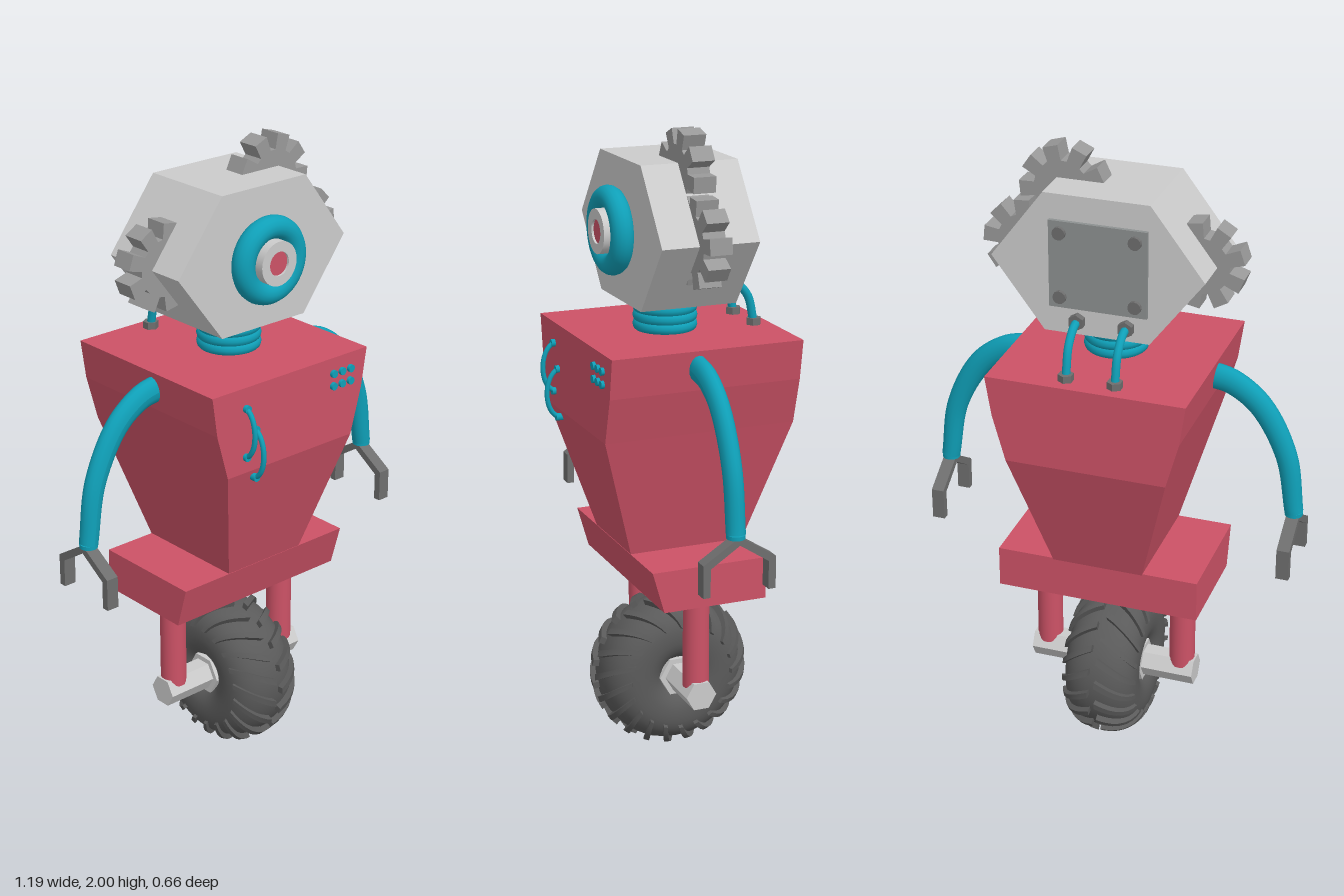
import * as THREE from 'three';
import { mergeGeometries, toCreasedNormals } from 'three/addons/utils/BufferGeometryUtils.js';

const mat = (color, flatShading = false) => new THREE.MeshStandardMaterial({ color, flatShading });
const grey = mat(0xcccccc), greyFlat = mat(0xcccccc, true), gearGrey = mat(0x999999, true);
const dark = mat(0x6e6e6e, true), rubber = mat(0x5a5a5a), plateGrey = mat(0x8c9090, true);
const red = mat(0xcc5266), redFlat = mat(0xcc5266, true), teal = mat(0x0fa0b8);
const V = (x, y, z) => new THREE.Vector3(x, y, z);

function add(parent, name, geo, material, x = 0, y = 0, z = 0) {
  const m = new THREE.Mesh(geo, material);
  m.name = name;
  m.position.set(x, y, z);
  parent.add(m);
  return m;
}

// Solid through rectangular sections [y, x0, x1, z0, z1], listed bottom to top
function loft(rows) {
  const pos = [], idx = [];
  for (const [y, x0, x1, z0, z1] of rows) pos.push(x0, y, z1, x1, y, z1, x1, y, z0, x0, y, z0);
  for (let r = 0; r < rows.length - 1; r++) {
    for (let i = 0; i < 4; i++) {
      const a = r * 4 + i, b = r * 4 + (i + 1) % 4;
      idx.push(a, b, b + 4, a, b + 4, a + 4);
    }
  }
  const t = (rows.length - 1) * 4;
  idx.push(0, 2, 1, 0, 3, 2, t, t + 1, t + 2, t, t + 2, t + 3);
  const g = new THREE.BufferGeometry();
  g.setAttribute('position', new THREE.Float32BufferAttribute(pos, 3));
  g.setIndex(idx);
  const flat = g.toNonIndexed();
  flat.computeVertexNormals();
  return flat;
}

const extrude = (points, depth) => new THREE.ExtrudeGeometry(
  new THREE.Shape(points.map(([x, y]) => new THREE.Vector2(x, y))), { depth, bevelEnabled: false }
).translate(0, 0, -depth / 2);

// Short cylinder lying along z
const disc = (r, h, sides = 20) => new THREE.CylinderGeometry(r, r, h, sides).rotateX(Math.PI / 2);

function gearGeometry(teeth, rootR, tipR, depth) {
  const pts = [], half = 0.021;
  for (let i = 0; i < teeth; i++) {
    const a = i / teeth * Math.PI * 2;
    for (const [r, w] of [[rootR, -half], [tipR, -half * 1.15], [tipR, half * 1.15], [rootR, half]]) {
      pts.push([r * Math.cos(a) - w * Math.sin(a), r * Math.sin(a) + w * Math.cos(a)]);
    }
  }
  return extrude(pts, depth);
}

// Tyre cross-section: axial and radial position at angle p from the crown
function tyrePoint(p) {
  const e = 2 / 2.3, s = Math.sin(p), c = Math.cos(p);
  return [0.118 * Math.sign(s) * Math.abs(s) ** e, 0.135 + 0.1 * Math.sign(c) * Math.abs(c) ** e];
}

// One slanted lug: a box bent over the tyre from crown to shoulder
function lugGeometry(a0) {
  const g = new THREE.BoxGeometry(1, 1, 1, 7, 1, 1), p = g.attributes.position;
  for (let i = 0; i < p.count; i++) {
    const t = p.getX(i) + 0.5, phi = 0.06 + t * 1.25, h = p.getY(i) > 0 ? 0.02 : -0.01;
    const [ax, r] = tyrePoint(phi);
    const a = a0 - t * 0.34 + p.getZ(i) * 0.085, R = r + h * Math.cos(phi);
    p.setXYZ(i, ax + h * Math.sin(phi) * 0.5, R * Math.cos(a), R * Math.sin(a));
  }
  return g;
}

function buildWheel() {
  const wheel = new THREE.Group();
  wheel.name = 'wheel';
  wheel.position.set(0, 0.255, -0.02);
  const profile = [];
  for (let i = 0; i <= 40; i++) {
    const [ax, r] = tyrePoint(Math.PI - i / 40 * Math.PI * 2);
    profile.push(new THREE.Vector2(r, -ax));
  }
  add(wheel, 'tyre', new THREE.LatheGeometry(profile, 56).rotateZ(Math.PI / 2),
    new THREE.MeshStandardMaterial({ color: 0x5a5a5a, side: THREE.DoubleSide }));
  const n = 20, lugs = [];
  for (let i = 0; i < n; i++) lugs.push(lugGeometry(i / n * Math.PI * 2));
  const tread = toCreasedNormals(mergeGeometries(lugs), 0.6);
  add(wheel, 'leftTread', tread, rubber);
  const rightTread = add(wheel, 'rightTread', tread, rubber);
  rightTread.scale.x = -1;
  rightTread.rotation.x = Math.PI / n;
  const hex = (r, len) => new THREE.CylinderGeometry(r, r, len, 6).rotateZ(Math.PI / 2).rotateX(Math.PI / 2);
  add(wheel, 'axle', hex(0.05, 0.545).rotateX(Math.PI / 2), greyFlat);
  add(wheel, 'hub', hex(0.068, 0.205).rotateX(Math.PI / 2), greyFlat);
  return wheel;
}

function buildArm() {
  const arm = new THREE.Group();
  const path = new THREE.CatmullRomCurve3(
    [V(0.29, 1.315, 0.005), V(0.36, 1.3, 0.005), V(0.45, 1.235, 0.005), V(0.535, 1.08, 0.005), V(0.567, 0.89, 0.005)]);
  const n = 32, g = new THREE.TubeGeometry(path, n, 0.029, 16), p = g.attributes.position;
  // Thicken the tube towards the shoulder
  for (let i = 0; i < p.count; i++) {
    const t = Math.floor(i / 17) / n, c = path.getPointAt(t), k = 1 + 0.45 * (1 - t);
    p.setXY(i, c.x + (p.getX(i) - c.x) * k, c.y + (p.getY(i) - c.y) * k);
  }
  g.computeVertexNormals();
  add(arm, 'armTube', g, teal);
  add(arm, 'wristCap', new THREE.CylinderGeometry(0.028, 0.028, 0.012, 16), teal, 0.567, 0.885, 0.005);
  // Two-fingered claw
  const side = [[0.115, 0.815], [0.115, 0.715], [0.092, 0.715], [0.092, 0.802]];
  const claw = [[0, 0.888], ...side, [0, 0.862], ...side.map(([z, y]) => [-z, y]).reverse()];
  add(arm, 'claw', extrude(claw, 0.04).rotateY(Math.PI / 2), dark, 0.567, 0, 0);
  return arm;
}

function buildHead() {
  const head = new THREE.Group();
  head.name = 'head';
  const hexagon = [[-0.32, 1.687], [-0.155, 1.47], [0.17, 1.47], [0.333, 1.687], [0.17, 1.903], [-0.155, 1.903]];
  add(head, 'skull', extrude(hexagon, 0.307), greyFlat, 0, 0, -0.0165);
  // Gears set into the sides and top
  const gear = gearGeometry(9, 0.085, 0.132, 0.07);
  [['rightGear', -0.27, 1.685, 0.02], ['leftGear', 0.273, 1.685, 0.1], ['topGear', 0.155, 1.868, 0.6]]
    .forEach(([name, x, y, turn]) => { add(head, name, gear, gearGrey, x, y, -0.015).rotation.z = turn; });
  // Eye
  add(head, 'eyeRing', new THREE.TorusGeometry(0.1, 0.035, 16, 48), teal, 0, 1.685, 0.167);
  const bezel = [[0.068, 0.13], [0.068, 0.212], [0.037, 0.212], [0.037, 0.13]].map(([r, y]) => new THREE.Vector2(r, y));
  add(head, 'eyeBezel', toCreasedNormals(new THREE.LatheGeometry(bezel, 32).rotateX(Math.PI / 2), 0.6),
    new THREE.MeshStandardMaterial({ color: 0xcccccc, side: THREE.DoubleSide }), 0, 1.685, 0);
  add(head, 'pupil', disc(0.037, 0.06, 24), red, 0, 1.685, 0.175);
  // Back plate with corner bolts
  add(head, 'backPlate', new THREE.BoxGeometry(0.3, 0.27, 0.014), plateGrey, 0, 1.69, -0.175);
  for (const x of [-0.115, 0.115]) for (const y of [1.59, 1.79]) {
    add(head, 'plateBolt', disc(0.02, 0.016, 12), dark, x, y, -0.186);
  }
  return head;
}

export function createModel() {
  const model = new THREE.Group();
  model.name = 'robot';

  // Body
  add(model, 'torso', loft([
    [0.7, -0.15, 0.14, -0.21, 0.16], [1.1, -0.26, 0.24, -0.333, 0.28],
    [1.245, -0.3, 0.28, -0.333, 0.28], [1.37, -0.318, 0.3, -0.333, 0.28]]), redFlat);
  add(model, 'pelvis', loft([
    [0.573, -0.326, 0.322, -0.21, 0.125], [0.705, -0.326, 0.322, -0.21, 0.163]]), redFlat);
  for (const s of [-1, 1]) {
    add(model, s < 0 ? 'rightLeg' : 'leftLeg', new THREE.CylinderGeometry(0.041, 0.041, 0.31, 24), red, s * 0.226, 0.43, -0.02);
    const arm = buildArm();
    arm.name = s < 0 ? 'rightArm' : 'leftArm';
    arm.scale.x = s;
    model.add(arm);
  }
  model.add(buildWheel(), buildHead());

  // Ribbed neck
  for (let i = 0; i < 4; i++) {
    add(model, 'neckRing', new THREE.TorusGeometry(0.078, 0.021, 12, 40).rotateX(Math.PI / 2), teal, 0, 1.385 + i * 0.028, -0.01);
  }
  add(model, 'neckCore', new THREE.CylinderGeometry(0.08, 0.08, 0.12, 32), teal, 0, 1.42, -0.01);

  // Hoses from the back of the head to the shoulders
  for (const x of [-0.086, 0.065]) {
    const hose = new THREE.CatmullRomCurve3(
      [V(x, 1.515, -0.17), V(x, 1.508, -0.21), V(x, 1.465, -0.255), V(x, 1.375, -0.278)]);
    add(model, 'hose', new THREE.TubeGeometry(hose, 20, 0.013, 10), teal);
    add(model, 'hoseNut', disc(0.025, 0.024, 6), dark, x, 1.515, -0.18);
    add(model, 'hoseNut', new THREE.CylinderGeometry(0.024, 0.024, 0.024, 6), dark, x, 1.38, -0.278);
  }

  // Cable loops on the chest
  for (const [x, top] of [[-0.19, 1.305], [-0.155, 1.23]]) {
    const pts = [];
    for (let i = 0; i <= 8; i++) {
      const a = i / 8 * Math.PI;
      pts.push(V(x, top - 0.077 + 0.077 * Math.cos(a), 0.275 + 0.045 * Math.sin(a)));
    }
    add(model, 'cableLoop', new THREE.TubeGeometry(new THREE.CatmullRomCurve3(pts), 24, 0.008, 8), teal);
    for (const y of [top, top - 0.154]) add(model, 'cableSocket', disc(0.012, 0.025, 10), teal, x, y, 0.28);
  }

  // Chest buttons
  for (const x of [0.16, 0.195, 0.23]) for (const y of [1.28, 1.32]) {
    add(model, 'button', disc(0.012, 0.02, 14), teal, x, y, 0.28);
  }
  return model;
}
